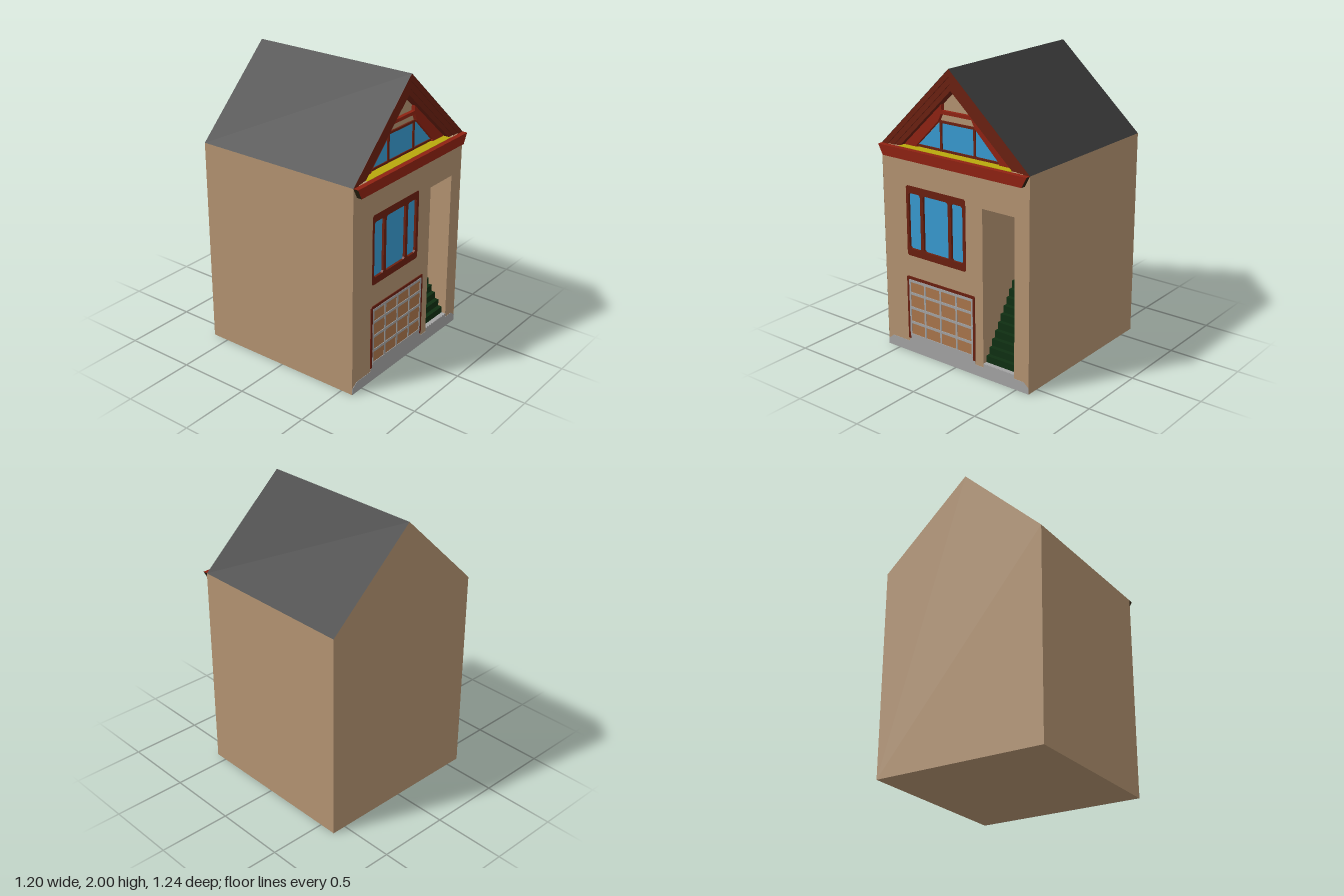
import * as THREE from 'three';

const mat = (name, color, side = THREE.FrontSide) => {
  const m = new THREE.MeshStandardMaterial({ color, side });
  m.name = name;
  return m;
};

export function createModel() {
  const house = new THREE.Group();
  house.name = 'house';

  const tan = mat('tan wall', 0xb39371, THREE.DoubleSide);
  const slate = mat('dark slate', 0x383838, THREE.DoubleSide);
  const red = mat('red trim', 0x8f2212);
  const brown = mat('red brown trim', 0x6b2010);
  const glass = mat('blue glass', 0x389ad0);
  const grey = mat('grey concrete', 0xa4a4a4);
  const panel = mat('orange brown panel', 0xaa754b);
  const green = mat('dark green', 0x0f2f12);
  const dark = mat('dark brown', 0x2f2311);
  const yellow = mat('yellow floor', 0xb8a80c);

  // Main dimensions
  const W = 0.6, EAVE = 1.44, TOP = 2, RIDGE = -0.02, FRONT = 0.585, BACK = -0.62;

  const add = (name, geo, material, parent = house) => {
    const m = new THREE.Mesh(geo, material);
    m.name = name;
    parent.add(m);
    return m;
  };
  const group = (name) => {
    const g = new THREE.Group();
    g.name = name;
    house.add(g);
    return g;
  };
  // Box given by its limits
  const box = (name, x0, x1, y0, y1, z0, z1, material, parent) => {
    const m = add(name, new THREE.BoxGeometry(x1 - x0, y1 - y0, z1 - z0), material, parent);
    m.position.set((x0 + x1) / 2, (y0 + y1) / 2, (z0 + z1) / 2);
    return m;
  };
  const shape = (pts) => new THREE.Shape(pts.map((p) => new THREE.Vector2(p[0], p[1])));
  // Outline extruded between two depths, with optional holes
  const slab = (name, pts, z0, z1, material, parent, holes = []) => {
    const s = shape(pts);
    s.holes = holes.map(shape);
    const g = new THREE.ExtrudeGeometry(s, { depth: z1 - z0, bevelEnabled: false });
    g.translate(0, 0, z0);
    return add(name, g, material, parent);
  };
  // Rectangle with chamfered corners
  const rect = (x0, x1, y0, y1, c = 0) => (c === 0
    ? [[x0, y0], [x1, y0], [x1, y1], [x0, y1]]
    : [[x0 + c, y0], [x1 - c, y0], [x1, y0 + c], [x1, y1 - c],
      [x1 - c, y1], [x0 + c, y1], [x0, y1 - c], [x0, y0 + c]]);
  // Flat four-cornered face, corners counter-clockwise from outside
  const quad = (name, a, b, c, d, material) => {
    const g = new THREE.BufferGeometry();
    g.setAttribute('position', new THREE.Float32BufferAttribute([a, b, c, a, c, d].flat(), 3));
    g.computeVertexNormals();
    return add(name, g, material);
  };

  // Shell: floor, side walls, back gable and roof slopes
  quad('floor', [-W, 0, BACK], [W, 0, BACK], [W, 0, FRONT], [-W, 0, FRONT], tan);
  quad('leftWall', [W, 0, FRONT], [W, 0, BACK], [W, EAVE, BACK], [W, EAVE, FRONT], tan);
  quad('rightWall', [-W, 0, BACK], [-W, 0, FRONT], [-W, EAVE, FRONT], [-W, EAVE, BACK], tan);
  quad('roofLeft', [W, EAVE, FRONT], [W, EAVE, BACK], [RIDGE, TOP, BACK], [RIDGE, TOP, FRONT], slate);
  quad('roofRight', [-W, EAVE, BACK], [-W, EAVE, FRONT], [RIDGE, TOP, FRONT], [RIDGE, TOP, BACK], slate);
  const backGeo = new THREE.ShapeGeometry(shape([[-W, 0], [W, 0], [W, EAVE], [-RIDGE, TOP], [-W, EAVE]]));
  backGeo.rotateY(Math.PI);
  backGeo.translate(0, 0, BACK);
  add('backWall', backGeo, tan);

  // Front wall with window and doorway openings
  const winOuter = rect(-0.4, 0.1, 0.705, 1.19, 0.012);
  const door = { x0: 0.235, x1: 0.485, y0: 0.1, y1: 1.16 };
  slab('frontWall', rect(-W + 0.001, W - 0.001, 0.001, EAVE - 0.001), FRONT - 0.05, FRONT, tan, house,
    [winOuter, rect(door.x0, door.x1, door.y0, door.y1)]);

  // Three-pane window
  const win = group('window');
  slab('windowFrame', winOuter, FRONT - 0.03, FRONT + 0.001, brown, win,
    [[-0.38, -0.28], [-0.255, -0.045], [-0.02, 0.075]].map(([a, b]) => rect(a, b, 0.755, 1.14, 0.012)));
  box('windowGlass', -0.39, 0.09, 0.72, 1.18, FRONT - 0.025, FRONT - 0.015, glass, win);

  // Doorway passage and stairs
  const hall = group('doorway');
  const t = 0.004;
  box('hallWallRight', door.x0 - t, door.x0, 0.08, door.y1, 0, FRONT - 0.05, tan, hall);
  box('hallWallLeft', door.x1, door.x1 + t, 0.08, door.y1, 0, FRONT - 0.05, tan, hall);
  box('hallCeiling', door.x0, door.x1, door.y1, door.y1 + t, 0, FRONT - 0.05, tan, hall);
  box('hallBack', door.x0, door.x1, 0.08, door.y1, -t, 0, dark, hall);
  box('threshold', door.x0, door.x1, 0.08, door.y0 + 0.002, 0.5, FRONT, grey, hall);
  const STEPS = 11, RISE = 0.53 / STEPS, TREAD = 0.03;
  for (let i = 0; i < STEPS; i++) {
    const z = 0.555 - i * TREAD;
    const back = i === STEPS - 1 ? 0 : z - TREAD;
    box('stairStep', door.x0 + 0.001, door.x1 - 0.001, door.y0, door.y0 + RISE * (i + 1), back, z, green, hall);
  }

  // Pavement apron, rising to the garage door
  slab('pavement', [[-W, 0], [W, 0], [W, 0.04], [0.56, 0.075], [0.485, 0.075], [0.485, 0.1], [0.235, 0.1],
    [0.235, 0.075], [0.17, 0.075], [0.155, 0.13], [-0.395, 0.13], [-0.405, 0.075], [-0.555, 0.075], [-W, 0.04]],
  FRONT, FRONT + 0.002, grey);

  // Garage door: panel, bars and frame
  const garage = group('garageDoor');
  box('garagePanel', -0.395, 0.155, 0.125, 0.54, FRONT, FRONT + 0.003, panel, garage);
  for (const y of [0.13, 0.225, 0.33, 0.435, 0.525]) {
    box('garageRail', -0.39, 0.15, y - 0.009, y + 0.009, FRONT, FRONT + 0.007, grey, garage);
  }
  for (const x of [-0.385, -0.255, -0.12, 0.015, 0.147]) {
    box('garageStile', x - 0.007, x + 0.007, 0.125, 0.53, FRONT, FRONT + 0.006, grey, garage);
  }
  slab('garageFrame', [[-0.41, 0.1], [-0.392, 0.1], [-0.392, 0.535], [0.152, 0.535], [0.152, 0.1], [0.17, 0.1],
    [0.17, 0.548], [0.163, 0.555], [-0.403, 0.555], [-0.41, 0.548]], FRONT, FRONT + 0.005, brown, garage);

  // Eaves moulding with tapered ends
  const mould = new THREE.BoxGeometry(2 * W, 0.07, 0.035);
  const p = mould.attributes.position;
  for (let i = 0; i < p.count; i++) if (p.getY(i) < 0) p.setX(i, Math.sign(p.getX(i)) * (W - 0.037));
  mould.computeVertexNormals();
  add('eavesMoulding', mould, [dark, dark, red, dark, red, red]).position.set(0, EAVE - 0.035, FRONT + 0.0175);

  // Recessed gable: back wall, floor and stepped bargeboards
  const gable = group('gable');
  const zWall = 0.505;
  const corners = (d) => [[-W + d, EAVE], [RIDGE, TOP - 0.966 * d], [W - d, EAVE]];
  slab('gableWall', corners(0.02), zWall - 0.01, zWall, tan, gable);
  box('gableFloor', -0.455, 0.455, EAVE - 0.003, EAVE + 0.002, zWall, FRONT, yellow, gable);
  [[0.002, 0.05, 0], [0.05, 0.1, 0.008], [0.1, 0.145, 0.016]].forEach(([a, b, inset]) => {
    slab('bargeboard', [...corners(a), ...corners(b).reverse()], zWall, FRONT - inset, brown, gable);
  });
  slab('gableTrimRight', [[-0.455, EAVE], [-0.345, EAVE], [-0.345, 1.455], [-0.16, 1.64], [-0.13, 1.70],
    [-0.13, 1.754]], zWall, zWall + 0.025, red, gable);
  slab('gableTrimLeft', [[0.455, EAVE], [0.106, 1.755], [0.106, 1.70], [0.135, 1.64], [0.325, 1.455],
    [0.325, EAVE]], zWall, zWall + 0.025, red, gable);
  box('gableBeam', -0.14, 0.115, 1.69, 1.713, zWall, zWall + 0.025, red, gable);

  // Gable window
  slab('gableGlass', [[-0.345, 1.455], [0.325, 1.455], [0.14, 1.635], [-0.16, 1.635]],
    zWall, zWall + 0.004, glass, gable);
  box('gableSill', -0.345, 0.325, EAVE, 1.457, zWall, zWall + 0.012, brown, gable);
  box('gableHead', -0.165, 0.14, 1.628, 1.643, zWall, zWall + 0.012, brown, gable);
  for (const x of [-0.15, 0.122]) {
    box('gableMullion', x - 0.008, x + 0.008, EAVE, 1.64, zWall, zWall + 0.012, brown, gable);
  }

  return house;
}
